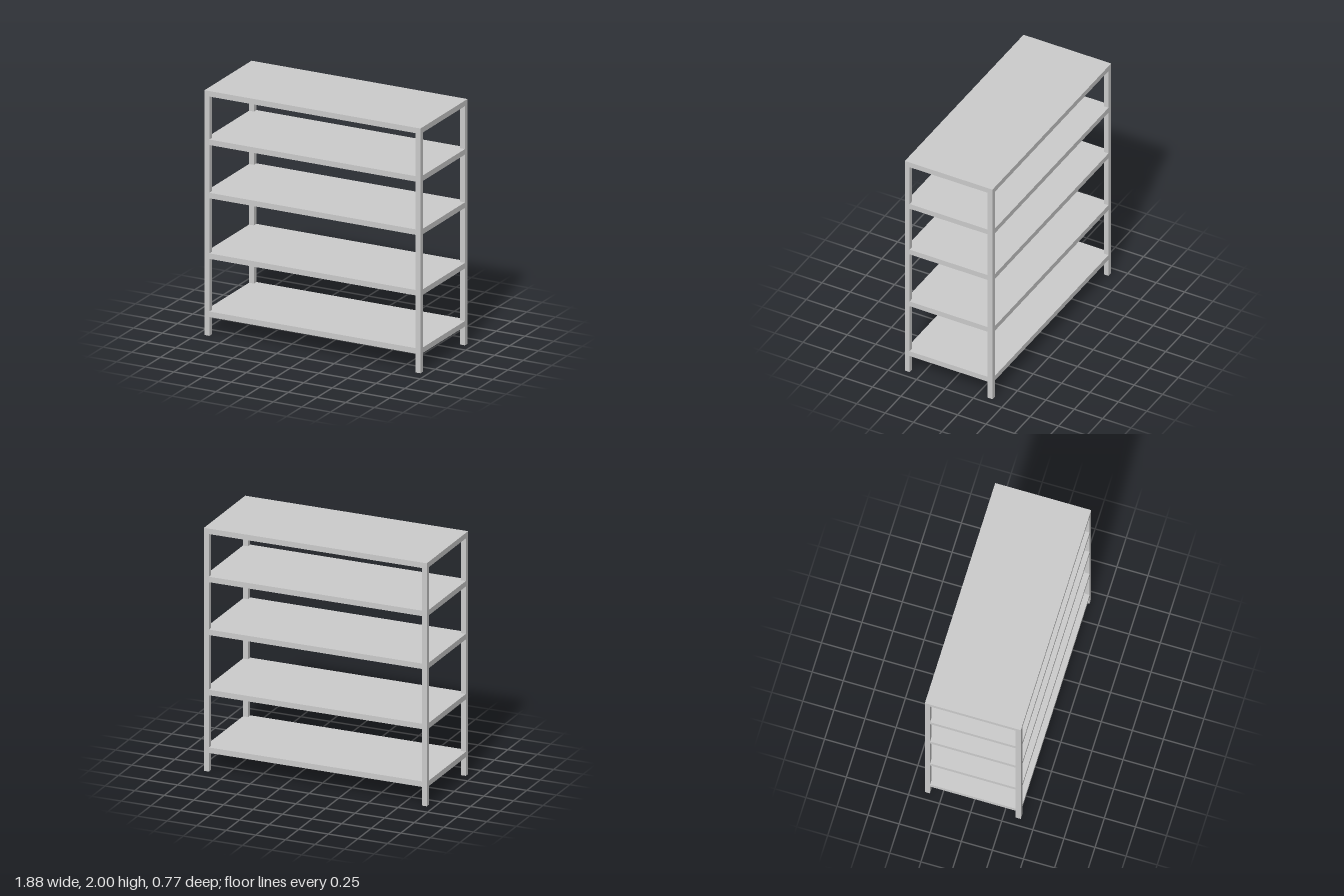
import * as THREE from 'three';

const X = 0.942, Z = 0.386; // half width and half depth
const POST = 0.042, SLAB = 0.045, HEIGHT = 2;

export function createModel() {
  const group = new THREE.Group();
  const material = new THREE.MeshStandardMaterial({ color: 0xcccccc, flatShading: true });

  const add = (name, geometry, x, y, z) => {
    const mesh = new THREE.Mesh(geometry, material);
    mesh.name = name;
    mesh.position.set(x, y, z);
    group.add(mesh);
  };

  // Corner posts, carrying the top board
  const postHeight = HEIGHT - SLAB;
  const postGeometry = new THREE.BoxGeometry(POST, postHeight, POST);
  for (const sx of [-1, 1]) {
    for (const sz of [-1, 1]) {
      const name = (sz > 0 ? 'front' : 'back') + (sx > 0 ? 'Left' : 'Right') + 'Post';
      add(name, postGeometry, sx * (X - POST / 2), postHeight / 2, sz * (Z - POST / 2));
    }
  }

  // Top board covers the full footprint
  add('topShelf', new THREE.BoxGeometry(2 * X, SLAB, 2 * Z), 0, HEIGHT - SLAB / 2, 0);

  // Lower shelves are notched at the corners to fit around the posts
  const x = X - POST, z = Z - POST;
  const outline = new THREE.Shape([
    [-x, -Z], [x, -Z], [x, -z], [X, -z], [X, z], [x, z],
    [x, Z], [-x, Z], [-x, z], [-X, z], [-X, -z], [-x, -z],
  ].map(([a, b]) => new THREE.Vector2(a, b)));
  const shelfGeometry = new THREE.ExtrudeGeometry(outline, { depth: SLAB, bevelEnabled: false });
  shelfGeometry.rotateX(-Math.PI / 2);
  [0.154, 0.629, 1.124, 1.559].forEach((y, i) => add(`shelf${i + 1}`, shelfGeometry, 0, y, 0));

  return group;
}
